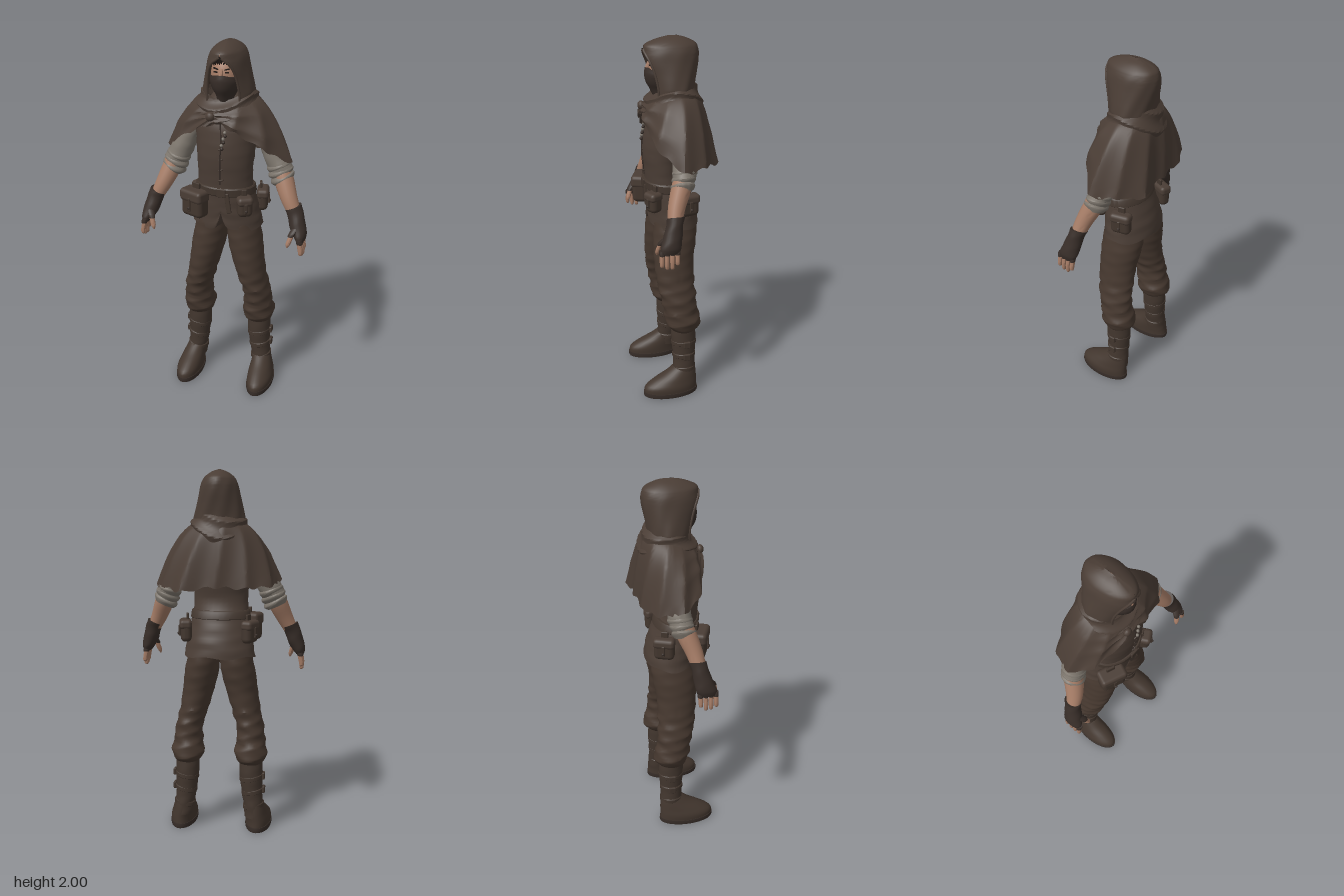
import * as THREE from 'three';
import { toCreasedNormals } from 'three/addons/utils/BufferGeometryUtils.js';
import { RoundedBoxGeometry } from 'three/addons/geometries/RoundedBoxGeometry.js';

const mat = (name, color, side = THREE.FrontSide) => Object.assign(new THREE.MeshStandardMaterial({ color, side }), { name });
const V = (x, y, z) => new THREE.Vector3(x, y, z);
const { sin, cos, abs, max, PI, exp } = Math;
const spline = (pts, closed = false) => new THREE.CatmullRomCurve3(pts, closed, 'catmullrom', 0.5);

// Surface from a rule: u runs rightwards round the outside, v runs downwards
function grid(fn, nu, nv, closed = true, caps = false) {
  const pos = [], idx = [], cols = closed ? nu : nu + 1;
  for (let i = 0; i <= nv; i++) for (let j = 0; j < cols; j++) pos.push(...fn(j / nu, i / nv).toArray());
  for (let i = 0; i < nv; i++) for (let j = 0; j < nu; j++) {
    const a = i * cols + j, b = i * cols + (j + 1) % cols, c = a + cols, d = b + cols;
    idx.push(a, c, b, b, c, d);
  }
  if (caps) for (const row of [0, nv]) {
    const mid = V(0, 0, 0), n = pos.length / 3;
    for (let j = 0; j < nu; j++) mid.add(fn(j / nu, row / nv));
    pos.push(...mid.divideScalar(nu).toArray());
    for (let j = 0; j < nu; j++) {
      const a = row * cols + j, b = row * cols + (j + 1) % nu;
      idx.push(...(row ? [n, b, a] : [n, a, b]));
    }
  }
  const g = new THREE.BufferGeometry();
  g.setAttribute('position', new THREE.Float32BufferAttribute(pos, 3));
  g.setIndex(idx);
  return toCreasedNormals(g, 0.6);
}

// Solid through rings [x, y, z, rx, rz, tilt], listed from top to bottom
function loft(rings, { seg = 24, sub = 4, wave = () => 1, drop = () => 0 } = {}) {
  const curve = k => spline(rings.map(r => V(r[k], r[k + 1], r[k + 2] || 0)));
  const path = curve(0), size = curve(3);
  return grid((u, t) => {
    const a = u * 2 * PI, c = path.getPoint(t), s = size.getPoint(t), w = wave(a, c.y, t);
    const dx = sin(a) * s.x * w;
    return V(c.x + dx, c.y + s.z * dx + drop(a, t), c.z + cos(a) * s.y * w);
  }, seg, (rings.length - 1) * sub, true, true);
}
const creases = amp => (a, y) => 1 + amp * (1 - abs(sin(1.5 * a + 34 * y)) - abs(sin(a - 47 * y + 1)));

export function createModel() {
  const cloth = mat('brown cloth', 0x4a3d35, THREE.DoubleSide);
  const trouser = mat('trouser cloth', 0x46382f);
  const leather = mat('boot and belt leather', 0x42362e);
  const dark = mat('dark leather', 0x382e29);
  const skin = mat('skin', 0xa57c66);
  const linen = mat('grey linen', 0x7d766d);
  const hairMat = mat('black hair', 0x211a17);
  const root = new THREE.Group();
  const add = (name, geo, m, x = 0, y = 0, z = 0, parent = root) => {
    const o = new THREE.Mesh(geo, m);
    o.name = name;
    o.position.set(x, y, z);
    parent.add(o);
    return o;
  };
  const tube = (pts, r) => new THREE.TubeGeometry(new THREE.CatmullRomCurve3(pts), 20, r, 6);

  // Vest and slit skirt
  add('vest', loft([[0, 1.75, -0.01, 0.05, 0.05], [0, 1.69, -0.01, 0.11, 0.085], [0, 1.6, 0.01, 0.165, 0.12],
    [0, 1.5, 0.025, 0.163, 0.125], [0, 1.4, 0.042, 0.155, 0.113], [0, 1.3, 0.045, 0.15, 0.1], [0, 1.2, 0.025, 0.157, 0.115]],
  { seg: 32, wave: creases(0.015) }), cloth);
  add('skirt', loft([[0, 1.22, 0.025, 0.157, 0.115], [0, 1.14, 0.01, 0.172, 0.126], [0, 1.07, -0.002, 0.185, 0.134], [0, 1.0, -0.008, 0.197, 0.139]],
    { seg: 96, wave: creases(0.018), drop: (a, t) => t * t * t * (0.11 * exp(-abs(sin(a / 2)) * 24) + 0.006 * sin(5 * a)) }), cloth);
  add('vestSeam', tube([V(0, 1.6, 0.131), V(0.008, 1.5, 0.15), V(0.004, 1.4, 0.156), V(0, 1.27, 0.143)], 0.004), dark);
  for (let i = 0; i < 4; i++) {
    const b = add('vestToggle', new RoundedBoxGeometry(0.028, 0.009, 0.012, 1, 0.004), leather, 0.008, 1.47 - i * 0.058, 0.154 - i * 0.002);
    b.rotation.z = 0.3;
  }
  // Braided cord hanging at the chest
  for (let i = 0; i < 6; i++) add('chestCord', new THREE.SphereGeometry(0.009, 8, 6), i % 2 ? dark : linen, 0.03 - i * 0.004 + 0.007 * (i % 2), 1.56 - i * 0.017, 0.15 + i * 0.002);

  // Belt and pouches
  add('belt', loft([[0, 1.25, 0.034, 0.157, 0.115], [0, 1.243, 0.033, 0.163, 0.121], [0, 1.207, 0.027, 0.167, 0.124], [0, 1.2, 0.026, 0.16, 0.117]], { seg: 32, sub: 1 }), leather);
  add('buckle', new RoundedBoxGeometry(0.05, 0.048, 0.014, 1, 0.005), leather, 0.01, 1.226, 0.152);
  add('beltTail', new RoundedBoxGeometry(0.026, 0.11, 0.012, 1, 0.004), leather, 0.045, 1.17, 0.148).rotation.z = 0.15;
  function pouch(name, x, y, z, w, h, d, turn) {
    const p = new THREE.Group();
    p.name = name;
    p.position.set(x, y, z);
    p.rotation.y = turn;
    root.add(p);
    add('pouchBody', new RoundedBoxGeometry(w, h, d, 3, 0.026), leather, 0, 0, 0, p);
    add('pouchFlap', new RoundedBoxGeometry(w * 1.06, h * 0.45, d * 1.1, 2, 0.02), cloth, 0, h * 0.3, 0.003, p);
    add('pouchStrap', new RoundedBoxGeometry(0.018, h * 0.5, 0.01, 1, 0.004), leather, 0, 0, d / 2 + 0.006, p);
    add('pouchButton', new THREE.SphereGeometry(0.008, 8, 6), dark, 0, -h * 0.12, d / 2 + 0.01, p);
    add('pouchLoop', new RoundedBoxGeometry(w * 0.35, 0.07, 0.014, 1, 0.005), leather, 0, h * 0.5, -d * 0.15, p);
  }
  pouch('rightFrontPouch', -0.145, 1.145, 0.128, 0.14, 0.15, 0.085, -0.4);
  pouch('leftFrontPouch', 0.13, 1.155, 0.122, 0.08, 0.11, 0.07, 0.5);
  pouch('leftHipPouch', 0.18, 1.14, -0.055, 0.11, 0.12, 0.06, 1.8);
  pouch('rightHipPouch', -0.172, 1.14, -0.065, 0.11, 0.12, 0.06, -1.95);

  // Short cape, longer behind and over the left arm: folds fan out from the clasp and fall down the back
  const hem = spline([[-0.02, 1.6, 0.148], [0.1, 1.555, 0.15], [0.25, 1.46, 0.105], [0.348, 1.38, 0], [0.285, 1.385, -0.115], [0.185, 1.365, -0.2], [0.02, 1.39, -0.19],
    [-0.13, 1.385, -0.183], [-0.25, 1.39, -0.14], [-0.325, 1.405, -0.04], [-0.295, 1.44, 0.06], [-0.17, 1.535, 0.13]].map(p => V(...p)), true);
  add('cape', grid((u, v) => {
    const a = u * 2 * PI, s = sin(a), c = cos(a);
    const neck = V(0.12 * s, 1.725 - 0.03 * max(0, c), -0.02 + 0.11 * c);
    const shoulder = V(0.235 * s, 1.69 - 0.02 * max(0, c), -0.02 + (c > 0 ? 0.162 : 0.15) * c);
    const p = new THREE.QuadraticBezierCurve3(neck, shoulder, hem.getPoint(u)).getPoint(v);
    const fan = Math.atan2(p.y - 1.645, abs(p.x + 0.05) + 0.02);
    const f = v * 0.012 * (1.1 - 1.6 * abs(sin(5.5 * a + 1.2 * v))) + v * 0.013 * max(0, c) * (1 - abs(sin(9 * fan)));
    return p.add(V(s * f, v > 0.97 ? 0.007 * sin(17 * a) : 0, c * f));
  }, 112, 20), cloth);
  // Gathered cowl and clasp
  add('cowl', grid((u, v) => {
    const a = u * 2 * PI, s = sin(a), c = cos(a);
    const r = 0.122 + 0.045 * v + sin(v * PI) * 0.014 + 0.008 * (1 - 2 * abs(sin(v * 6 + 1.5 * s + c)));
    const y = 1.765 - 0.11 * v - 0.055 * max(0, c) ** 2 - 0.06 * v * max(0, -c) ** 3;
    return V((s - 0.06 * c * v) * r, y, -0.02 + c * (c > 0 ? r - 0.008 + 0.012 * v : r - 0.018));
  }, 64, 18), cloth);
  add('clasp', new THREE.SphereGeometry(0.024, 12, 8), cloth, -0.05, 1.635, 0.145).scale.z = 0.8;

  // Hood: rows of [y, half width, back z, rim z, rim half width]
  const rows = [[2.0, 0.001, -0.035, 0.015, 0], [1.985, 0.043, -0.085, 0.075, 0], [1.96, 0.076, -0.133, 0.132, 0], [1.935, 0.092, -0.145, 0.14, 0.008], [1.91, 0.101, -0.148, 0.132, 0.04],
    [1.87, 0.11, -0.145, 0.113, 0.064], [1.82, 0.122, -0.136, 0.096, 0.075], [1.77, 0.134, -0.127, 0.085, 0.083], [1.73, 0.14, -0.122, 0.08, 0.086], [1.69, 0.13, -0.12, 0.08, 0.085]];
  const hoodA = spline(rows.map(r => V(r[0], r[1], r[2])));
  const hoodB = spline(rows.map(r => V(r[3], r[4], 0)));
  const hoodPoint = (u, v) => {
    const p = hoodA.getPoint(v), q = hoodB.getPoint(v), open = Math.asin(Math.min(0.9, max(0, q.y) / p.y));
    const a = open + u * (2 * PI - 2 * open), c = cos(a), w = 1 + 0.025 * v * sin(9 * a + 12 * v) * sin(u * PI);
    return V(p.y * sin(a) * w, p.x, -0.02 + c * w * (c > 0 ? (q.x + 0.02) / cos(open) : -0.02 - p.z));
  };
  add('hood', grid(hoodPoint, 40, 36, false), cloth);
  for (const u of [0, 1]) add('hoodRim', tube([0.33, 0.38, 0.44, 0.52, 0.62, 0.75, 0.88, 0.98].map(v => hoodPoint(u, v)), 0.007), cloth);

  // Head, mask and hair
  add('head', new THREE.SphereGeometry(1, 24, 18), skin, 0, 1.83, 0.025).scale.set(0.078, 0.115, 0.092);
  add('nose', loft([[0, 1.875, 0.11, 0.007, 0.008], [0, 1.845, 0.118, 0.011, 0.014], [0, 1.825, 0.12, 0.01, 0.01]], { seg: 8 }), skin);
  add('mask', loft([[0, 1.832, 0.032, 0.08, 0.092], [0, 1.805, 0.035, 0.081, 0.094], [0, 1.765, 0.035, 0.069, 0.087], [0, 1.725, 0.03, 0.05, 0.07], [0, 1.67, 0.015, 0.05, 0.06]],
    { wave: a => 1 + 0.09 * max(0, cos(a)) ** 8, drop: (a, t) => (1 - t) * 0.014 * max(0, cos(a)) ** 6 }), dark);
  for (const s of [-1, 1]) {
    add('eye', new THREE.BoxGeometry(0.02, 0.006, 0.008), hairMat, s * 0.03, 1.858, 0.109).rotation.y = s * 0.35;
    add('eyebrow', new THREE.BoxGeometry(0.028, 0.005, 0.008), hairMat, s * 0.03, 1.874, 0.106).rotation.set(0, s * 0.35, s * 0.2);
  }
  for (let i = -4; i <= 4; i++) {
    const lock = add('hairLock', new THREE.ConeGeometry(0.011, 0.036 + 0.018 * abs(i % 2), 6), hairMat, i * 0.012, 1.909 - 0.004 * abs(i), 0.103 - 0.005 * abs(i));
    lock.rotation.set(PI, 0, i * 0.1 + 0.25);
  }

  for (const s of [-1, 1]) {
    const side = s > 0 ? 'left' : 'right';
    const part = (name, rings, m, opt) => add(side + name, loft(rings.map(([x, y, z, rx, rz, k = 0]) => [x * s, y, z, rx, rz, k * s]), opt), m);
    // Arms with rolled sleeves
    part('Sleeve', [[0.16, 1.59, -0.02, 0.04, 0.05, 0.4], [0.212, 1.5, -0.018, 0.05, 0.058, 0.4], [0.262, 1.4, -0.01, 0.058, 0.062, 0.4], [0.295, 1.34, 0, 0.058, 0.06, 0.4]], linen, { wave: creases(0.04) });
    for (let i = 0; i < 3; i++) {
      const x = 0.28 + i * 0.012, y = 1.36 - i * 0.031, z = -0.005 + i * 0.007, r = 0.065 - i * 0.001;
      part('SleeveRoll', [[x - 0.008, y + 0.02, z, r - 0.012, r - 0.012, 0.45], [x, y, z, r, r, 0.45 + 0.1 * (i - 1)], [x + 0.008, y - 0.024, z, r - 0.014, r - 0.014, 0.45]], linen, { wave: creases(0.04) });
    }
    part('Forearm', [[0.29, 1.36, 0, 0.048, 0.05, 0.4], [0.32, 1.28, 0.025, 0.048, 0.053, 0.4], [0.355, 1.2, 0.055, 0.041, 0.045, 0.4], [0.395, 1.12, 0.075, 0.032, 0.035, 0.4]], skin);
    part('Glove', [[0.38, 1.165, 0.065, 0.043, 0.046, 0.4], [0.395, 1.13, 0.075, 0.041, 0.043, 0.35], [0.413, 1.07, 0.09, 0.042, 0.05, 0.2], [0.43, 1.025, 0.102, 0.035, 0.054, 0.1], [0.436, 0.998, 0.108, 0.022, 0.05, 0]], dark, { wave: creases(0.03) });
    for (let i = 0; i < 4; i++) {
      const z = 0.07 + i * 0.027, end = [0.93, 0.91, 0.913, 0.925][i];
      part('FingerSleeve', [[0.434, 1.015, z, 0.016, 0.014], [0.438, 1.0, z, 0.017, 0.015], [0.44, 0.99, z, 0.016, 0.014]], dark, { seg: 10 });
      part('Finger', [[0.436, 1.0, z, 0.014, 0.013], [0.445, 0.955, z + 0.002, 0.013, 0.012], [0.446, end + 0.008, z + 0.002, 0.011, 0.01], [0.443, end, z + 0.002, 0.003, 0.003]], skin, { seg: 10 });
    }
    part('ThumbSleeve', [[0.415, 1.075, 0.115, 0.02, 0.02], [0.398, 1.045, 0.14, 0.019, 0.018], [0.39, 1.028, 0.15, 0.016, 0.015]], dark, { seg: 10 });
    part('Thumb', [[0.393, 1.03, 0.148, 0.014, 0.014], [0.381, 0.99, 0.16, 0.013, 0.013], [0.376, 0.968, 0.164, 0.004, 0.004]], skin, { seg: 10 });

    // Trousers bunched over tall boots
    part('Trouser', [[0.08, 1.08, 0, 0.08, 0.105], [0.09, 0.99, -0.004, 0.09, 0.119], [0.104, 0.9, 0.002, 0.095, 0.118], [0.123, 0.8, 0.01, 0.088, 0.11], [0.15, 0.68, 0.006, 0.08, 0.105], [0.172, 0.6, -0.004, 0.077, 0.1],
      [0.177, 0.52, -0.015, 0.082, 0.095], [0.178, 0.46, -0.028, 0.092, 0.102], [0.178, 0.42, -0.032, 0.085, 0.092], [0.18, 0.395, -0.03, 0.066, 0.07]],
    trouser, { seg: 36, sub: 7, wave: (a, y) => creases(y < 0.72 ? 0.06 : 0.018)(a, y) });
    part('BootShaft', [[0.18, 0.43, -0.03, 0.064, 0.066], [0.182, 0.33, -0.032, 0.066, 0.07], [0.188, 0.22, -0.033, 0.058, 0.063], [0.198, 0.14, -0.033, 0.056, 0.065], [0.205, 0.08, -0.03, 0.06, 0.07]], leather, { wave: creases(0.03) });
    part('Foot', [[0.2, 0.16, -0.033, 0.05, 0.062], [0.207, 0.125, -0.008, 0.056, 0.09], [0.212, 0.09, 0.025, 0.064, 0.125], [0.217, 0.055, 0.05, 0.071, 0.15], [0.217, 0.015, 0.052, 0.071, 0.154]], leather, { seg: 28 });
    part('Sole', [[0.217, 0.028, 0.052, 0.074, 0.157], [0.217, 0.012, 0.052, 0.075, 0.158], [0.217, 0, 0.052, 0.072, 0.155]], dark, { seg: 28, sub: 1 });
    for (const [y, r] of [[0.31, 0.067], [0.23, 0.062], [0.145, 0.06]]) {
      const x = 0.18 + (0.36 - y) * 0.075;
      part('BootStrap', [[x, y + 0.014, -0.032, r - 0.004, r - 0.001, 0.15], [x, y + 0.01, -0.032, r, r + 0.004, 0.15], [x, y - 0.01, -0.032, r, r + 0.004, 0.15], [x, y - 0.014, -0.032, r - 0.004, r - 0.001, 0.15]], leather, { sub: 1 });
      if (y > 0.2) add(side + 'BootBuckle', new RoundedBoxGeometry(0.016, 0.04, 0.04, 1, 0.006), leather, s * (x + r + 0.002), y + 0.01, -0.035);
    }
  }
  return root;
}
